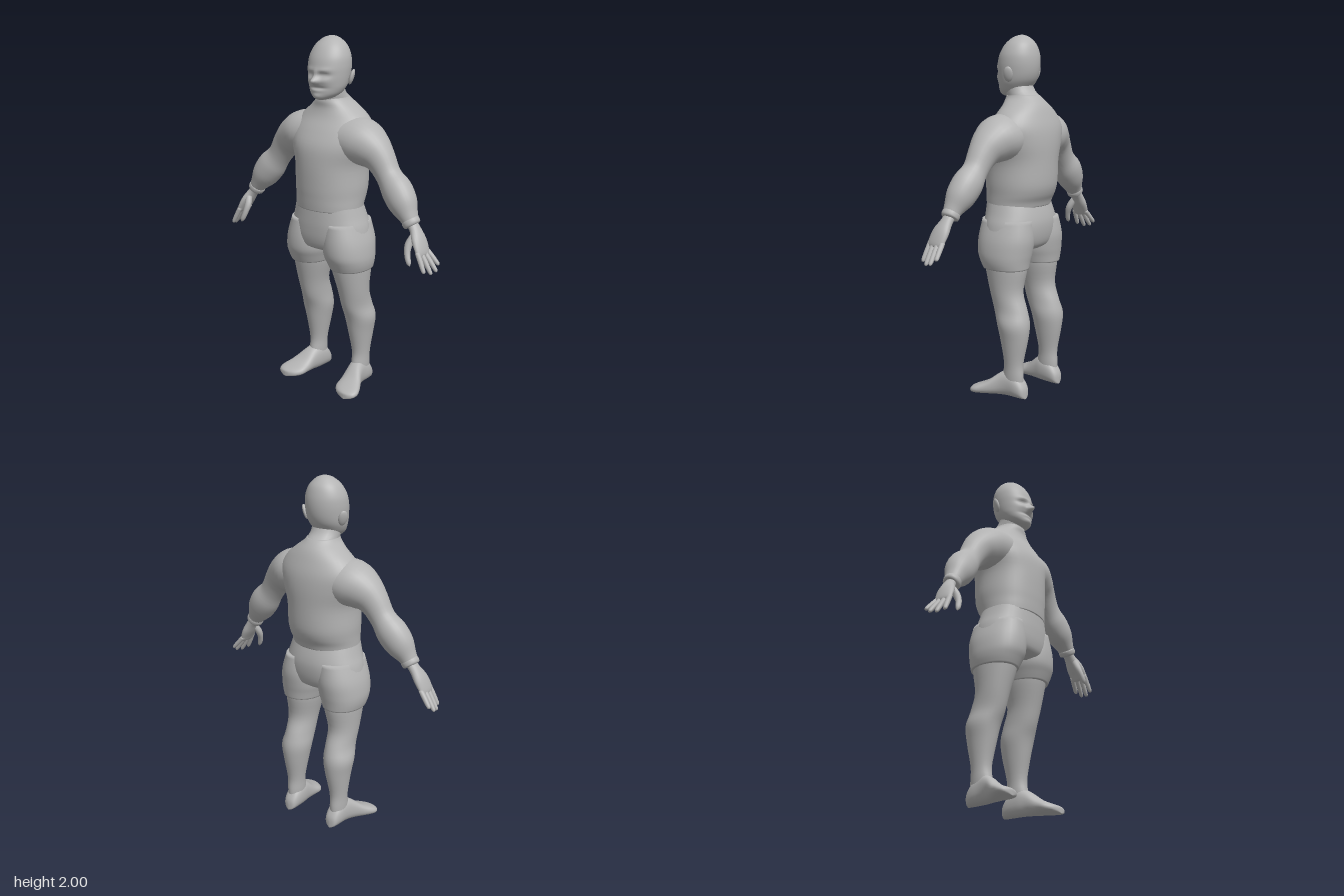
import * as THREE from 'three';

const grey = new THREE.MeshStandardMaterial({ color: 0xb4b4b4 });
grey.name = 'plain grey';

// smooth interpolation through a list of sections
function refine(rows, steps) {
  const out = [];
  const at = (i) => rows[Math.max(0, Math.min(rows.length - 1, i))];
  for (let i = 0; i < rows.length - 1; i++) {
    for (let k = 0; k < steps; k++) {
      const t = k / steps;
      out.push(at(i).map((b, j) => {
        const a = at(i - 1)[j], c = at(i + 1)[j], d = at(i + 2)[j];
        return b + 0.5 * t * (c - a + t * (2 * a - 5 * b + 4 * c - d + t * (3 * (b - c) + d - a)));
      }));
    }
  }
  out.push(rows[rows.length - 1]);
  return out;
}

// closed loft through oval sections [x, y, z, radiusU, radiusV]
// frame: 'y' = level rings, 'z' = upright rings, 'path' = rings square to the path
function loft(rows, { frame = 'path', side = 1, n = 24, steps = 4, power = 2 } = {}) {
  const secs = refine(rows, steps).map(([x, y, z, u, v]) => [x * side, y, z, Math.max(u, 0.001), Math.max(v, 0.001)]);
  const centres = secs.map((s) => new THREE.Vector3(s[0], s[1], s[2]));
  const pos = [], idx = [];
  let flip = false;
  secs.forEach((s, i) => {
    const T = centres[Math.min(i + 1, secs.length - 1)].clone().sub(centres[Math.max(i - 1, 0)]).normalize();
    const U = new THREE.Vector3(1, 0, 0), V = new THREE.Vector3(0, 0, 1);
    if (frame === 'z') V.set(0, 1, 0);
    if (frame === 'path') {
      U.crossVectors(V, T).normalize();
      V.crossVectors(T, U);
    }
    if (i === 1) flip = U.clone().cross(V).dot(T) < 0;
    for (let k = 0; k < n; k++) {
      const a = (k / n) * Math.PI * 2, c = Math.cos(a), d = Math.sin(a);
      const p = centres[i].clone()
        .addScaledVector(U, s[3] * Math.sign(c) * Math.abs(c) ** (2 / power))
        .addScaledVector(V, s[4] * Math.sign(d) * Math.abs(d) ** (2 / power));
      pos.push(p.x, p.y, p.z);
    }
  });
  const tri = (a, b, c) => (flip ? idx.push(a, c, b) : idx.push(a, b, c));
  const last = (secs.length - 1) * n, start = secs.length * n;
  for (const c of [centres[0], centres[centres.length - 1]]) pos.push(c.x, c.y, c.z);
  for (let k = 0; k < n; k++) {
    const m = (k + 1) % n;
    for (let i = 0; i < last; i += n) {
      tri(i + k, i + m, i + n + k);
      tri(i + m, i + n + m, i + n + k);
    }
    tri(start, m, k);
    tri(start + 1, last + k, last + m);
  }
  const g = new THREE.BufferGeometry();
  g.setAttribute('position', new THREE.Float32BufferAttribute(pos, 3));
  g.setIndex(idx);
  g.computeVertexNormals();
  return g;
}

// level section from [y, centreX, halfWidth, frontZ, backZ]
const level = (rows) => rows.map(([y, x, r, f, b]) => [x, y, (f + b) / 2, r, (f - b) / 2]);

// head loft with facial relief pushed in and out along z
function headGeometry() {
  const g = loft(level([
    [1.668, 0, 0.015, 0.11, 0.04], [1.678, 0, 0.052, 0.128, 0], [1.7, 0, 0.082, 0.135, -0.03],
    [1.73, 0, 0.1, 0.136, -0.055], [1.76, 0, 0.109, 0.138, -0.076], [1.8, 0, 0.115, 0.142, -0.09],
    [1.85, 0, 0.118, 0.138, -0.096], [1.9, 0, 0.112, 0.124, -0.092], [1.95, 0, 0.088, 0.094, -0.075],
    [1.985, 0, 0.05, 0.054, -0.042], [1.998, 0, 0.018, 0.02, -0.015], [2, 0, 0.001, 0.002, 0],
  ]), { frame: 'y', n: 72, steps: 6 });
  // x, y, spread x, spread y, depth
  const relief = [
    [0, 1.772, 0.013, 0.014, 0.03], [0, 1.8, 0.009, 0.02, 0.01], [0, 1.77, 0.026, 0.009, 0.008],
    [0, 1.735, 0.034, 0.006, -0.009], [0, 1.722, 0.026, 0.007, 0.005], [0, 1.69, 0.022, 0.012, 0.008],
  ];
  for (const s of [-1, 1]) {
    relief.push([s * 0.045, 1.804, 0.02, 0.01, -0.016], [s * 0.045, 1.828, 0.025, 0.009, 0.006],
      [s * 0.06, 1.77, 0.02, 0.016, 0.006], [s * 0.045, 1.802, 0.012, 0.005, 0.006]);
  }
  const p = g.attributes.position;
  for (let i = 0; i < p.count; i++) {
    if (p.getZ(i) < 0.04) continue;
    let z = p.getZ(i);
    for (const [x, y, sx, sy, d] of relief) {
      z += d * Math.exp(-(((p.getX(i) - x) / sx) ** 2 + ((p.getY(i) - y) / sy) ** 2) / 2);
    }
    p.setZ(i, z);
  }
  g.computeVertexNormals();
  return g;
}

export function createModel() {
  const model = new THREE.Group();
  model.name = 'standingMan';
  const add = (name, geometry) => {
    const m = new THREE.Mesh(geometry, grey);
    m.name = name;
    model.add(m);
    return m;
  };

  add('head', headGeometry());
  add('neck', loft(level([
    [1.6, 0, 0.1, 0.085, -0.14], [1.66, 0, 0.086, 0.088, -0.115],
    [1.7, 0, 0.082, 0.095, -0.07], [1.75, 0, 0.082, 0.09, -0.04],
  ]), { frame: 'y' }));

  // sweater body
  add('sweater', loft(level([
    [1.07, 0, 0.198, 0.184, -0.14], [1.1, 0, 0.199, 0.187, -0.15], [1.14, 0, 0.201, 0.19, -0.172],
    [1.2, 0, 0.205, 0.194, -0.188], [1.32, 0, 0.207, 0.196, -0.193], [1.42, 0, 0.24, 0.186, -0.195],
    [1.5, 0, 0.25, 0.15, -0.187], [1.57, 0, 0.205, 0.108, -0.166], [1.62, 0, 0.145, 0.09, -0.145],
    [1.655, 0, 0.1, 0.09, -0.12], [1.675, 0, 0.085, 0.085, -0.1],
  ]), { frame: 'y', n: 40, power: 2.1 }));

  // upper part of the shorts
  add('shortsSeat', loft(level([
    [0.825, 0, 0.12, 0.1, -0.09], [0.85, 0, 0.2, 0.155, -0.13], [0.9, 0, 0.24, 0.174, -0.15],
    [0.97, 0, 0.235, 0.18, -0.158], [1.03, 0, 0.215, 0.18, -0.15], [1.1, 0, 0.194, 0.178, -0.13],
  ]), { frame: 'y', n: 40, power: 2.2 }));

  for (const side of [1, -1]) {
    const w = side > 0 ? 'left' : 'right';

    const ear = add(w + 'Ear', new THREE.SphereGeometry(1, 16, 12));
    ear.scale.set(0.013, 0.043, 0.026);
    ear.position.set(side * 0.128, 1.79, -0.005);
    ear.rotation.set(0, side * 0.5, side * -0.3);

    // sleeve with rolled cuff
    add(w + 'Sleeve', loft([
      [0.08, 1.46, -0.01, 0.12, 0.14], [0.2, 1.45, -0.005, 0.128, 0.138], [0.28, 1.415, 0, 0.107, 0.108],
      [0.335, 1.37, 0.003, 0.084, 0.08], [0.39, 1.295, 0.006, 0.07, 0.068], [0.445, 1.23, 0.01, 0.085, 0.08],
      [0.495, 1.165, 0.02, 0.08, 0.075], [0.535, 1.11, 0.028, 0.055, 0.054], [0.558, 1.077, 0.03, 0.042, 0.044],
    ], { side, n: 28 }));
    add(w + 'Cuff', loft([
      [0.544, 1.094, 0.03, 0.041, 0.042], [0.55, 1.086, 0.03, 0.049, 0.049],
      [0.563, 1.069, 0.031, 0.048, 0.048], [0.568, 1.062, 0.031, 0.038, 0.04],
    ], { side }));

    // hand
    add(w + 'Palm', loft([
      [0.55, 1.085, 0.03, 0.028, 0.032], [0.585, 1.045, 0.033, 0.027, 0.036], [0.615, 1.0, 0.042, 0.028, 0.052],
      [0.64, 0.955, 0.05, 0.022, 0.055], [0.653, 0.925, 0.052, 0.015, 0.051], [0.656, 0.918, 0.052, 0.002, 0.04],
    ], { side }));
    [[0.01, -0.008, 0.712, 0.866], [0.038, 0.026, 0.722, 0.84], [0.066, 0.064, 0.714, 0.833], [0.092, 0.103, 0.695, 0.845]]
      .forEach(([z0, z1, x, y], i) => {
        const mix = (t) => [0.643 + (x - 0.643) * t, 0.945 + (y - 0.945) * t, z0 + (z1 - z0) * t];
        add(`${w}Finger${i + 1}`, loft([
          [...mix(0), 0.013, 0.015], [...mix(0.45), 0.0135, 0.014], [...mix(0.85), 0.011, 0.012],
          [...mix(0.97), 0.007, 0.008], [...mix(1), 0.001, 0.001],
        ], { side, n: 12, steps: 3 }));
      });
    add(w + 'Thumb', loft([
      [0.595, 1.02, 0.06, 0.018, 0.02], [0.582, 0.975, 0.085, 0.02, 0.02], [0.587, 0.93, 0.103, 0.016, 0.016],
      [0.603, 0.888, 0.112, 0.013, 0.013], [0.612, 0.87, 0.114, 0.002, 0.002],
    ], { side, n: 12 }));

    // leg of the shorts
    add(w + 'ShortsLeg', loft(level([
      [1.0, 0.12, 0.1, 0.165, -0.145], [0.9, 0.128, 0.126, 0.177, -0.156], [0.82, 0.135, 0.13, 0.174, -0.147],
      [0.77, 0.141, 0.121, 0.155, -0.138], [0.73, 0.142, 0.109, 0.136, -0.132],
    ]), { frame: 'y', side, n: 32, power: 2.15 }));

    // bare leg and foot
    add(w + 'Leg', loft(level([
      [0.82, 0.138, 0.11, 0.14, -0.12], [0.73, 0.139, 0.105, 0.126, -0.124], [0.6, 0.148, 0.084, 0.092, -0.106],
      [0.5, 0.149, 0.078, 0.065, -0.138], [0.42, 0.156, 0.085, 0.035, -0.158], [0.33, 0.157, 0.07, 0.015, -0.15],
      [0.2, 0.16, 0.049, -0.008, -0.125], [0.12, 0.16, 0.045, 0.002, -0.128], [0.05, 0.16, 0.04, 0, -0.125],
    ]), { frame: 'y', side, n: 28 }));
    add(w + 'Foot', loft([
      [-0.15, 0.157, 0.005, 0.04], [-0.14, 0.157, 0.034, 0.075], [-0.1, 0.158, 0.047, 0.125],
      [-0.04, 0.161, 0.05, 0.15], [0.01, 0.172, 0.054, 0.132], [0.07, 0.192, 0.07, 0.085],
      [0.12, 0.206, 0.079, 0.06], [0.155, 0.217, 0.062, 0.045], [0.172, 0.222, 0.03, 0.035], [0.176, 0.222, 0.002, 0.025],
    ].map(([z, x, r, top]) => [x, top / 2, z, r, top / 2]), { frame: 'z', side, n: 28, power: 2.3 }));
  }
  return model;
}
